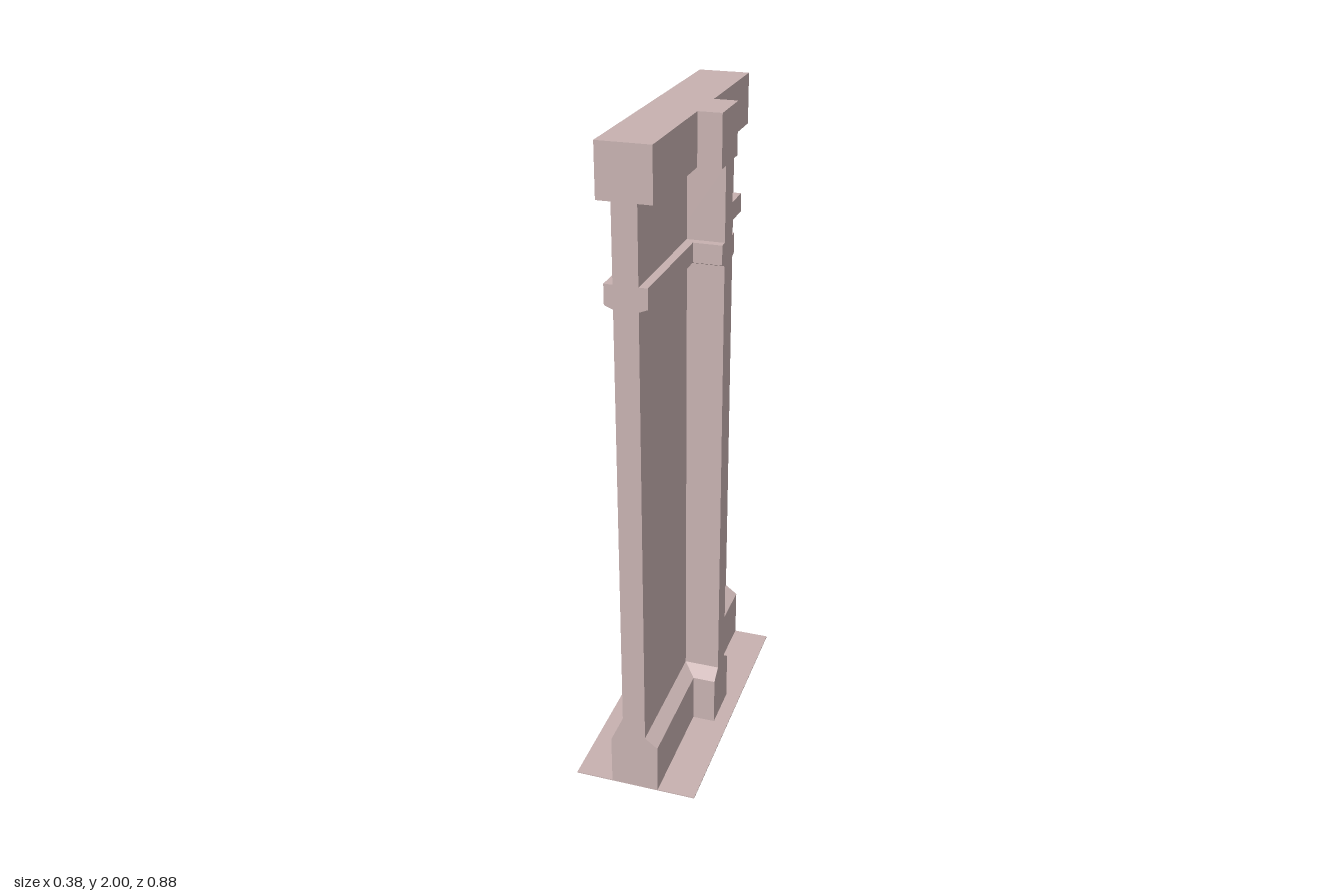
import * as THREE from 'three';

export function createModel() {
  const model = new THREE.Group();
  const stone = new THREE.MeshStandardMaterial({ color: 0xc9b3b2 });
  stone.name = 'pale pink stone';

  const add = (name, geometry) => {
    const mesh = new THREE.Mesh(geometry, stone);
    mesh.name = name;
    model.add(mesh);
    return mesh;
  };

  // Half of the wall section: [half thickness, height]
  const half = [
    [0.074, 0.002], [0.074, 0.162], [0.035, 0.192], // plinth with sloped top
    [0.035, 1.565], [0.06, 1.575], [0.06, 1.633],   // rail
    [0.035, 1.633], [0.035, 1.85], [0.076, 1.85], [0.076, 2], // cornice
  ];
  const outline = [...half, ...half.map(([x, y]) => [-x, y]).reverse()];
  const section = new THREE.Shape(outline.map(([x, y]) => new THREE.Vector2(x, y)));
  const extrude = (depth) => new THREE.ExtrudeGeometry(section, { depth, bevelEnabled: false });

  // Long wall, and the short branch leaving it at a right angle
  add('wall', extrude(0.882).translate(0, 0, -0.441));
  add('wallBranch', extrude(0.145).rotateY(Math.PI / 2));

  // Block from the wall's centre out to -x, with its own reach and half width at each end
  const block = (y0, reach0, z0, y1, reach1, z1) => {
    const geometry = new THREE.BoxGeometry(1, 1, 2);
    const p = geometry.attributes.position;
    for (let i = 0; i < p.count; i++) {
      const top = p.getY(i) > 0;
      const x = p.getX(i) < 0 ? -(top ? reach1 : reach0) : 0;
      p.setXYZ(i, x, top ? y1 : y0, p.getZ(i) * (top ? z1 : z0));
    }
    const flat = geometry.toNonIndexed();
    flat.computeVertexNormals();
    return flat;
  };

  // Slender pilaster on the other side of the wall
  add('pilasterBase', block(0.002, 0.146, 0.072, 0.162, 0.146, 0.072));
  add('pilasterBaseSlope', block(0.162, 0.146, 0.072, 0.192, 0.08, 0.033));
  add('pilasterShaft', block(0.19, 0.08, 0.033, 1.57, 0.08, 0.033));
  add('pilasterCapSlope', block(1.565, 0.08, 0.033, 1.575, 0.094, 0.061));
  add('pilasterCap', block(1.575, 0.094, 0.061, 1.633, 0.094, 0.061));

  // Thin floor plate
  add('floorPlate', new THREE.BoxGeometry(0.382, 0.003, 0.882).translate(0, 0.0015, 0));

  return model;
}
